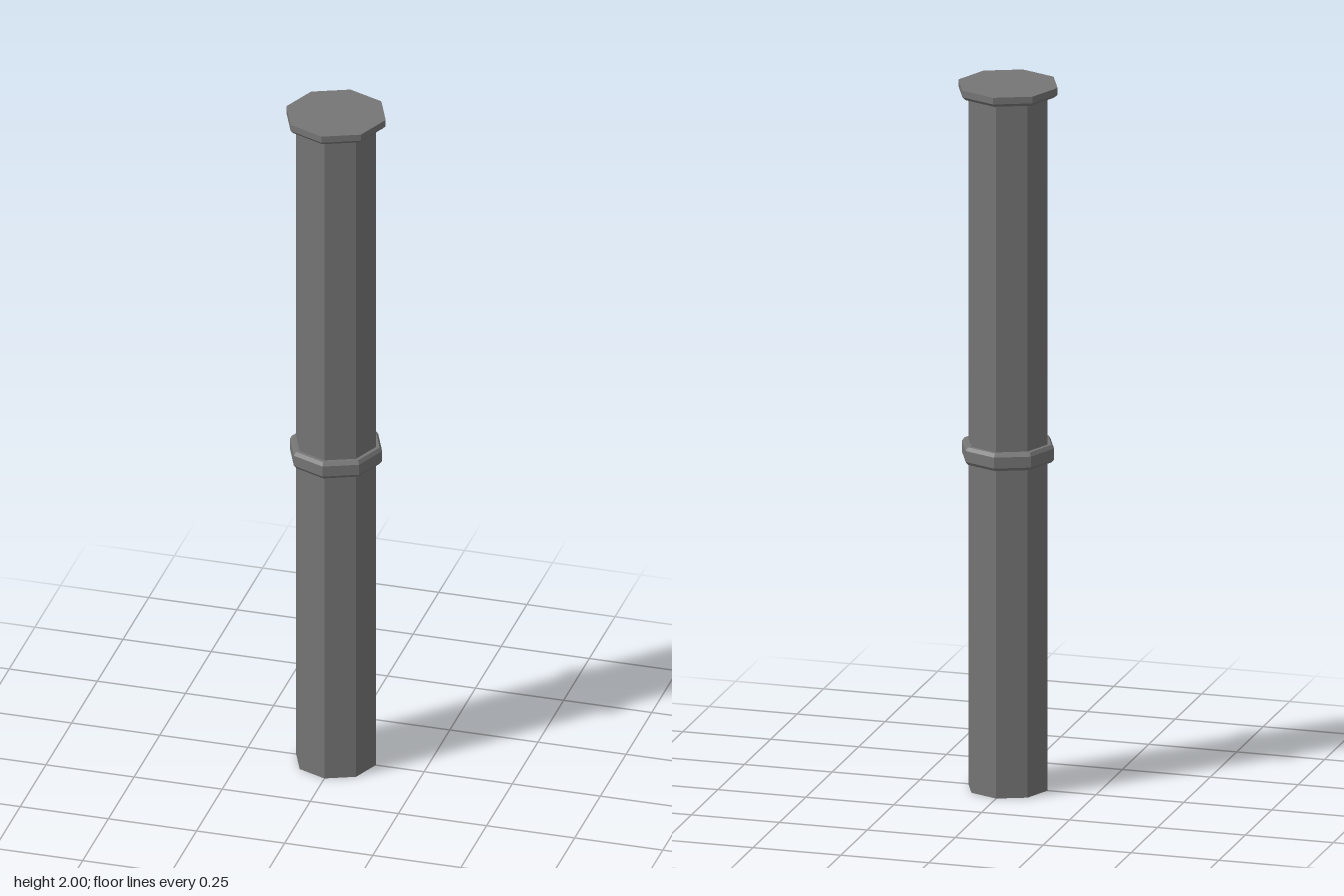
import * as THREE from 'three';

const SIDES = 8;

export function createModel() {
  const group = new THREE.Group();
  const iron = new THREE.MeshStandardMaterial({ color: 0x757575 });
  iron.flatShading = true;

  // Octagonal solid from [radius, height] pairs, listed bottom to top
  const addPart = (name, profile) => {
    const points = profile.map(([r, y]) => new THREE.Vector2(r, y));
    const mesh = new THREE.Mesh(new THREE.LatheGeometry(points, SIDES), iron);
    mesh.name = name;
    group.add(mesh);
  };

  // Straight shaft, closed at the foot
  addPart('shaft', [[0, 0], [0.113, 0], [0.113, 1.98]]);

  // Bevelled collar around the middle
  addPart('collar', [[0.113, 0.934], [0.124, 0.934], [0.131, 0.943], [0.131, 0.974], [0.124, 0.984], [0.113, 0.984]]);

  // Flat cap with a bevelled lower edge
  addPart('cap', [[0.113, 1.972], [0.132, 1.972], [0.141, 1.981], [0.141, 2], [0, 2]]);

  return group;
}
